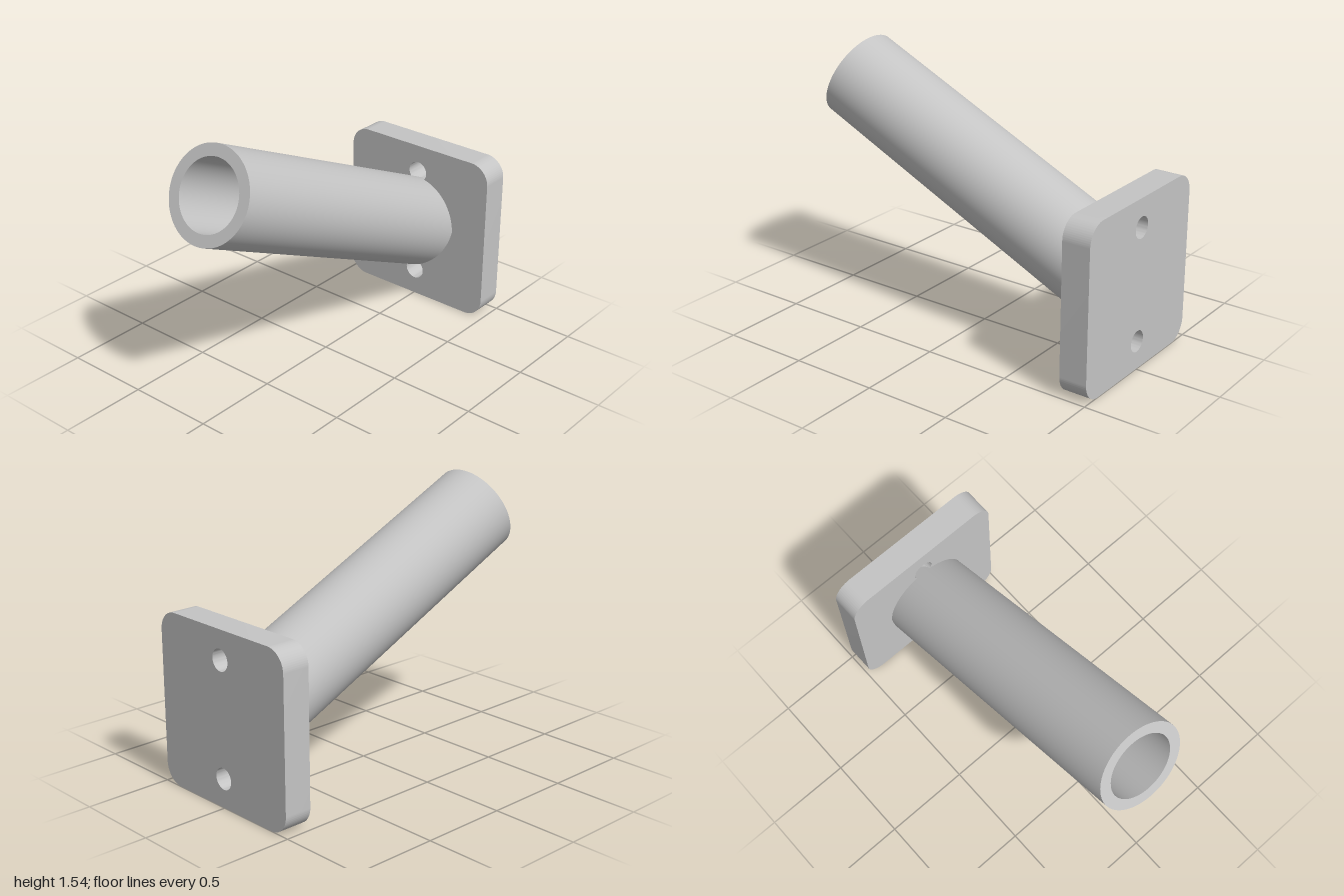
import * as THREE from 'three';
import { toCreasedNormals } from 'three/addons/utils/BufferGeometryUtils.js';

const metal = new THREE.MeshStandardMaterial({ color: 0xc4c4c4 });
metal.name = 'light grey metal';

function circleHole(x, y, r) {
  return new THREE.Path().absarc(x, y, r, 0, Math.PI * 2, true);
}

// Extrude along +z, smooth round walls and keep the rims sharp
function extrudedPart(name, shape, depth, curveSegments) {
  const geometry = new THREE.ExtrudeGeometry(shape, { depth, curveSegments, bevelEnabled: false });
  const mesh = new THREE.Mesh(toCreasedNormals(geometry, Math.PI / 5), metal);
  mesh.name = name;
  return mesh;
}

export function createModel() {
  const group = new THREE.Group();
  group.name = 'angledTubeBracket';

  // Square mounting plate with rounded corners and two screw holes
  const half = 0.49, corner = 0.115, inner = half - corner;
  const plateShape = new THREE.Shape();
  [[1, 1], [-1, 1], [-1, -1], [1, -1]].forEach(([sx, sy], i) => {
    const start = i * Math.PI / 2;
    plateShape.absarc(sx * inner, sy * inner, corner, start, start + Math.PI / 2, false);
  });
  for (const y of [-0.325, 0.325]) plateShape.holes.push(circleHole(0, y, 0.061));
  const plate = extrudedPart('mountingPlate', plateShape, 0.162, 24);
  plate.position.set(0, half, -1);
  group.add(plate);

  // Hollow tube rising forward at 25 degrees, its rear end sunk into the plate
  const tubeShape = new THREE.Shape().absarc(0, 0, 0.262, 0, Math.PI * 2, false);
  tubeShape.holes.push(circleHole(0, 0, 0.195));
  const tube = extrudedPart('angledTube', tubeShape, 1.904, 48);
  tube.position.set(0, 0.493, -0.836);
  tube.rotation.x = -THREE.MathUtils.degToRad(25);
  group.add(tube);

  return group;
}
